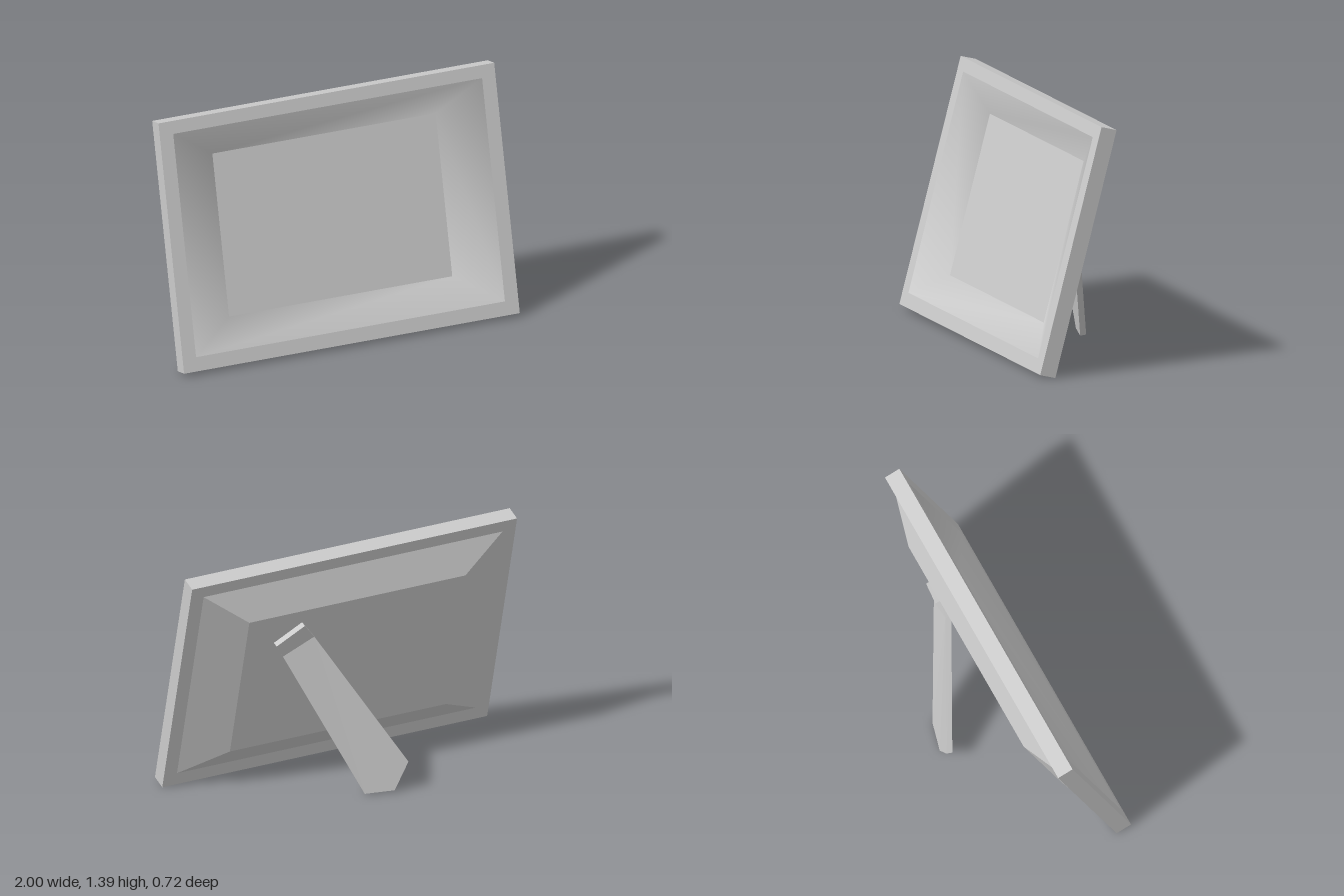
import * as THREE from 'three';

const TILT = THREE.MathUtils.degToRad(15);
const BACK_Z = 0.27; // depth of the frame's lower back edge
const H = 1.413; // frame height along its slope
const MAT = new THREE.MeshStandardMaterial({ color: 0xcccccc });

// Rectangle loop in the frame's own plane, counter-clockwise from the front
const rect = (x, y0, y1, z) => [[-x, y0, z], [x, y0, z], [x, y1, z], [-x, y1, z]];

const quad = (a, b, c, d) => [a, b, c, a, c, d];

// Mesh from corner triples; welded corners shade smoothly
function makeMesh(name, points, index) {
  let g = new THREE.BufferGeometry();
  g.setAttribute('position', new THREE.Float32BufferAttribute(points.flat(), 3));
  if (index) g.setIndex(index);
  g.computeVertexNormals();
  const m = new THREE.Mesh(g, MAT);
  m.name = name;
  return m;
}

// Flat-sided skin through consecutive loops
function loft(loops) {
  const out = [];
  for (let k = 0; k < loops.length - 1; k++) {
    const a = loops[k], b = loops[k + 1];
    for (let i = 0; i < 4; i++) {
      const j = (i + 1) % 4;
      out.push(...quad(a[i], a[j], b[j], b[i]));
    }
  }
  return out;
}

// Thin plate: a back outline, with each corner pushed forward by its own offset
function plate(name, back, offsets) {
  const front = back.map((p, i) => p.map((v, k) => v + offsets[i][k]));
  const pts = [];
  for (let i = 1; i < back.length - 1; i++) {
    pts.push(back[0], back[i], back[i + 1]);
    pts.push(front[0], front[i + 1], front[i]);
  }
  back.forEach((p, i) => {
    const j = (i + 1) % back.length;
    pts.push(...quad(p, front[i], front[j], back[j]));
  });
  return makeMesh(name, pts);
}

// Point on the tilted frame (x, height along slope, distance forward) in model space
function onFrame(x, u, n) {
  const c = Math.cos(TILT), s = Math.sin(TILT);
  return [x, u * c + n * s, BACK_Z - u * s + n * c];
}

export function createModel() {
  const model = new THREE.Group();
  model.name = 'pictureFrame';

  // Tilted frame
  const frame = new THREE.Group();
  frame.name = 'frame';
  frame.rotation.x = -TILT;
  frame.position.z = BACK_Z;
  model.add(frame);

  const backInner = rect(0.665, 0.25, 1.17, -0.1);
  const backOuter = rect(0.92, 0.08, 1.34, 0);
  const edgeBack = rect(1, 0, H, 0);
  const edgeFront = rect(1, 0, H, 0.093);
  const opening = rect(0.92, 0.08, 1.34, 0.093);
  const floor = rect(0.665, 0.25, 1.17, -0.007);

  frame.add(makeMesh('border', loft([backOuter, edgeBack, edgeFront, opening])));
  frame.add(makeMesh('backPanel', [
    ...loft([backInner, backOuter]),
    ...quad(backInner[0], backInner[3], backInner[2], backInner[1]),
  ]));

  // Recess with softly shaded sloping walls and a flat picture area
  const wallIndex = [];
  for (let i = 0; i < 4; i++) {
    const j = (i + 1) % 4;
    wallIndex.push(...quad(i, j, j + 4, i + 4));
  }
  frame.add(makeMesh('recessWalls', [...opening, ...floor], wallIndex));
  frame.add(makeMesh('picture', quad(...floor)));

  // Easel stand: a tab on the back panel, bent into a leg swung to one side
  const stand = new THREE.Group();
  stand.name = 'stand';
  model.add(stand);

  const n = -0.135;
  const bendRight = onFrame(0.26, 0.996, n);
  const bendLeft = onFrame(0.44, 0.899, n);
  const tabOff = [0, 0.009, 0.033];
  const bendOff = [-0.007, -0.001, 0.033];
  const legOff = [-0.009, -0.005, 0.032];

  stand.add(plate('standTab',
    [onFrame(0.33, 1.09, n), onFrame(0.49, 0.983, n), bendLeft, bendRight],
    [tabOff, tabOff, bendOff, bendOff]));
  stand.add(plate('standLeg',
    [bendRight, bendLeft, [0.048, 0.005, -0.314], [-0.115, 0.01, -0.357], [-0.198, 0.168, -0.36]],
    [bendOff, bendOff, legOff, legOff, legOff]));

  return model;
}
